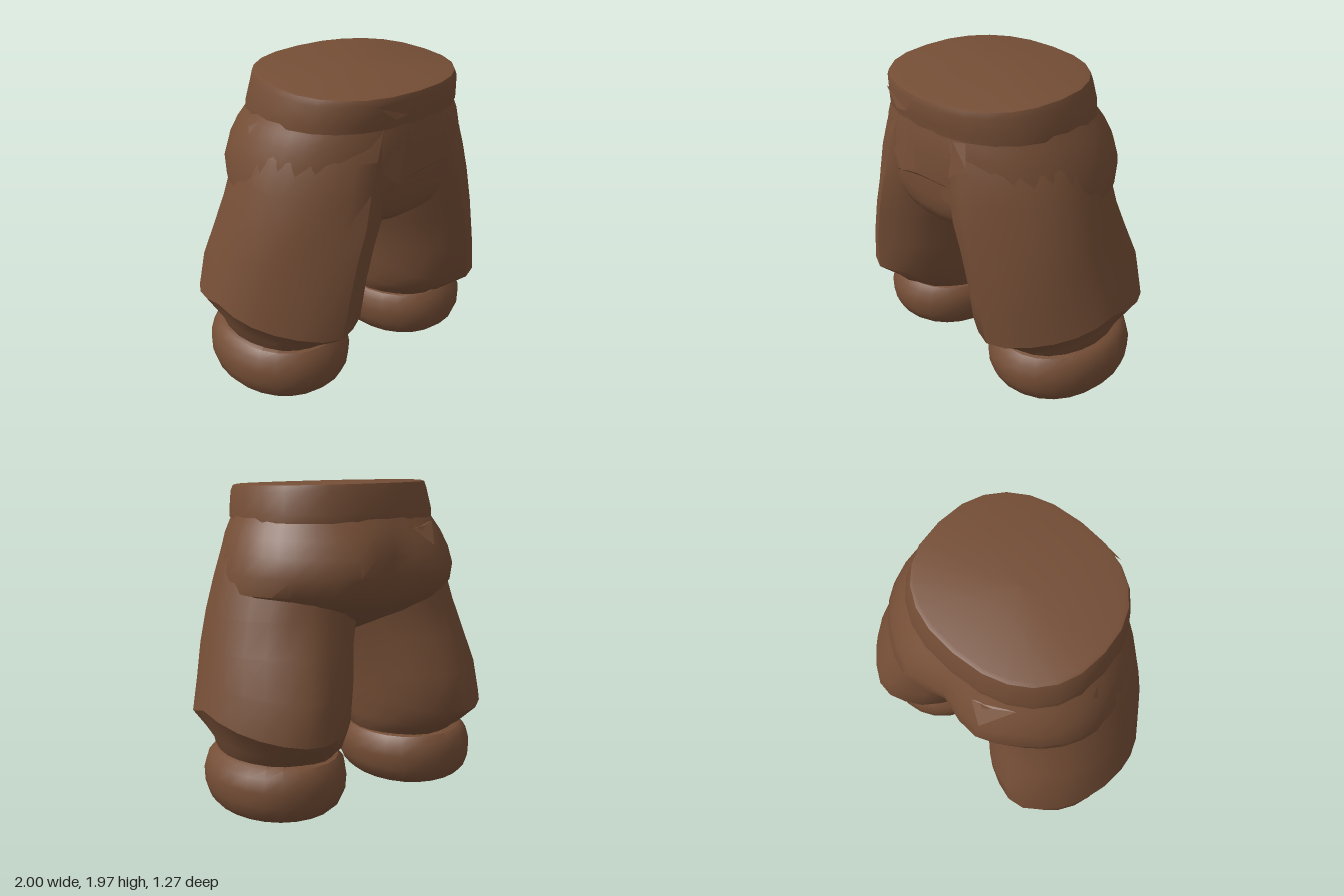
import * as THREE from 'three';
import { toCreasedNormals } from 'three/addons/utils/BufferGeometryUtils.js';

// Closed loft through horizontal rings [y, xMin, xMax, zBack, zFront], bottom to top.
// power squares off the outline; adjust(v, angle, y) can bend each point.
function loft(rings, { sides = 24, power = 2.3, adjust = null } = {}) {
  const pos = [], index = [];
  const v = new THREE.Vector3();
  const bend = (c) => Math.sign(c) * Math.pow(Math.abs(c), 2 / power);
  for (const [y, x0, x1, zb, zf] of rings) {
    for (let i = 0; i < sides; i++) {
      const a = (i / sides) * Math.PI * 2;
      v.set((x0 + x1) / 2 + (x1 - x0) / 2 * bend(Math.cos(a)), y,
        (zb + zf) / 2 + (zf - zb) / 2 * bend(Math.sin(a)));
      if (adjust) adjust(v, a, y);
      pos.push(v.x, v.y, v.z);
    }
  }
  for (let r = 0; r < rings.length - 1; r++) {
    for (let i = 0; i < sides; i++) {
      const a = r * sides + i, b = r * sides + (i + 1) % sides;
      index.push(a, a + sides, b, b, a + sides, b + sides);
    }
  }
  // flat end caps, each a fan around its middle
  for (const r of [0, rings.length - 1]) {
    const mid = new THREE.Vector3();
    for (let i = 0; i < sides; i++) mid.add(v.fromArray(pos, (r * sides + i) * 3));
    mid.divideScalar(sides);
    const c = pos.length / 3;
    pos.push(mid.x, mid.y, mid.z);
    for (let i = 0; i < sides; i++) {
      const a = r * sides + i, b = r * sides + (i + 1) % sides;
      if (r === 0) index.push(c, a, b); else index.push(c, b, a);
    }
  }
  const g = new THREE.BufferGeometry();
  g.setAttribute('position', new THREE.Float32BufferAttribute(pos, 3));
  g.setIndex(index);
  return toCreasedNormals(g, 0.6);
}

// Small cloth fold: a fan of flat faces around the first point
function foldGeometry(points) {
  const pos = [];
  for (let i = 1; i < points.length - 1; i++) pos.push(...points[0], ...points[i], ...points[i + 1]);
  const g = new THREE.BufferGeometry();
  g.setAttribute('position', new THREE.Float32BufferAttribute(pos, 3));
  g.computeVertexNormals();
  return g;
}

export function createModel() {
  const model = new THREE.Group();
  model.name = 'trousers';
  const cloth = new THREE.MeshStandardMaterial({ color: 0x754e36, side: THREE.DoubleSide });
  cloth.name = 'brown cloth';

  const add = (name, geometry) => {
    const mesh = new THREE.Mesh(geometry, cloth);
    mesh.name = name;
    model.add(mesh);
  };

  // Waistband, higher at the back than at the front
  add('waistband', loft([
    [1.75, -0.645, 0.645, -0.50, 0.60],
    [1.80, -0.64, 0.64, -0.50, 0.605],
    [1.92, -0.615, 0.615, -0.47, 0.62],
    [1.955, -0.60, 0.60, -0.46, 0.61],
    [1.962, -0.58, 0.58, -0.435, 0.575],
  ], {
    power: 2.35,
    adjust: (v, a, y) => { if (y > 1.85) v.y -= 0.02 * v.z / 0.6; },
  }));

  // Hips with a rounded seat, tapering into the crotch
  add('hips', loft([
    [1.02, -0.05, 0.05, -0.10, 0.25],
    [1.10, -0.26, 0.26, -0.28, 0.46],
    [1.18, -0.55, 0.55, -0.44, 0.57],
    [1.25, -0.73, 0.73, -0.53, 0.60],
    [1.34, -0.79, 0.79, -0.605, 0.615],
    [1.45, -0.78, 0.78, -0.64, 0.62],
    [1.56, -0.745, 0.745, -0.62, 0.62],
    [1.66, -0.705, 0.705, -0.57, 0.615],
    [1.72, -0.67, 0.67, -0.53, 0.605],
    [1.78, -0.635, 0.635, -0.49, 0.595],
  ], {
    sides: 36, power: 2.15,
    // cleft down the middle of the seat, fullness to each side of it
    adjust: (v, a, y) => {
      const seat = Math.max(0, 1 - Math.abs(y - 1.42) / 0.32);
      if (v.z < -0.2) {
        v.z += 0.07 * seat * Math.exp(-Math.pow(v.x / 0.13, 2));
        v.z -= 0.03 * seat * Math.exp(-Math.pow((Math.abs(v.x) - 0.32) / 0.15, 2));
      }
    },
  }));

  // Right-hand rings are the left-hand ones mirrored
  const mirror = (rings, s) => rings.map(([y, a, b, zb, zf]) => s > 0 ? [y, a, b, zb, zf] : [y, -b, -a, zb, zf]);
  const legRings = [
    [0.32, 0.17, 0.83, -0.44, 0.34],
    [0.37, 0.145, 0.865, -0.49, 0.39],
    [0.44, 0.13, 0.885, -0.55, 0.47],
    [0.66, 0.10, 1.00, -0.64, 0.585],
    [0.82, 0.07, 0.955, -0.625, 0.60],
    [1.00, 0.01, 0.91, -0.54, 0.605],
    [1.20, -0.06, 0.855, -0.485, 0.61],
    [1.40, -0.10, 0.795, -0.46, 0.605],
    [1.58, -0.14, 0.73, -0.43, 0.595],
    [1.77, -0.18, 0.62, -0.38, 0.57],
  ];
  const cuffRings = [
    [0.012, 0.19, 0.89, -0.48, 0.35],
    [0.05, 0.15, 0.92, -0.52, 0.39],
    [0.12, 0.12, 0.94, -0.548, 0.42],
    [0.21, 0.11, 0.943, -0.55, 0.425],
    [0.29, 0.12, 0.92, -0.53, 0.40],
    [0.335, 0.155, 0.88, -0.49, 0.365],
    [0.355, 0.23, 0.81, -0.41, 0.29],
  ];

  for (const [side, s] of [['left', 1], ['right', -1]]) {
    // Baggy leg: its sagging edge drops at the front and back, with slight crumples
    add(side + 'Leg', loft(mirror(legRings, s), {
      power: 1.95,
      adjust: (v, a, y) => {
        const round = Math.abs(Math.sin(a));
        if (y === 0.66) v.y -= 0.145 * round;
        if (y === 0.82) v.y -= 0.06 * round;
        if (y === 0.44) v.y -= 0.03 * round;
        // outer front corner is slacker than the back one
        if (y > 0.4) v.z -= 0.12 * Math.max(0, s * Math.cos(a)) * Math.max(0, Math.sin(a));
        if (y < 1.3) v.z += 0.01 * Math.sin(a) * Math.sin(15 * s * v.x + 7 * y);
      },
    }));
    // Rolled cuff, its inner edge hanging a little lower
    add(side + 'Cuff', loft(mirror(cuffRings, s), {
      power: 2.1,
      adjust: (v) => { v.y += 0.01 * (s * v.x - 0.55) / 0.36; },
    }));
  }

  // Creases and loose folds of cloth
  const folds = {
    bandFold: [[-0.31, 1.90, 0.59], [-0.18, 1.81, 0.62], [-0.09, 1.82, 0.62], [-0.03, 1.91, 0.62]],
    flyFold: [[-0.07, 1.74, 0.605], [-0.27, 1.51, 0.60], [-0.16, 1.42, 0.63], [-0.01, 1.48, 0.63]],
    flyLowerFold: [[-0.26, 1.39, 0.605], [0.0, 1.46, 0.63], [0.27, 1.46, 0.605], [0.33, 1.34, 0.60], [0.0, 1.39, 0.625]],
    frontPocketFold: [[0.27, 1.74, 0.575], [0.35, 1.75, 0.55], [0.39, 1.62, 0.585], [0.27, 1.53, 0.615]],
    sidePocketFold: [[-0.64, 1.76, 0.03], [-0.68, 1.70, -0.08], [-0.725, 1.60, 0.0], [-0.67, 1.69, 0.13]],
    backPocketFold: [[-0.42, 1.73, -0.43], [-0.30, 1.71, -0.50], [-0.18, 1.70, -0.53], [-0.29, 1.60, -0.60]],
  };
  for (const [name, points] of Object.entries(folds)) add(name, foldGeometry(points));

  return model;
}
